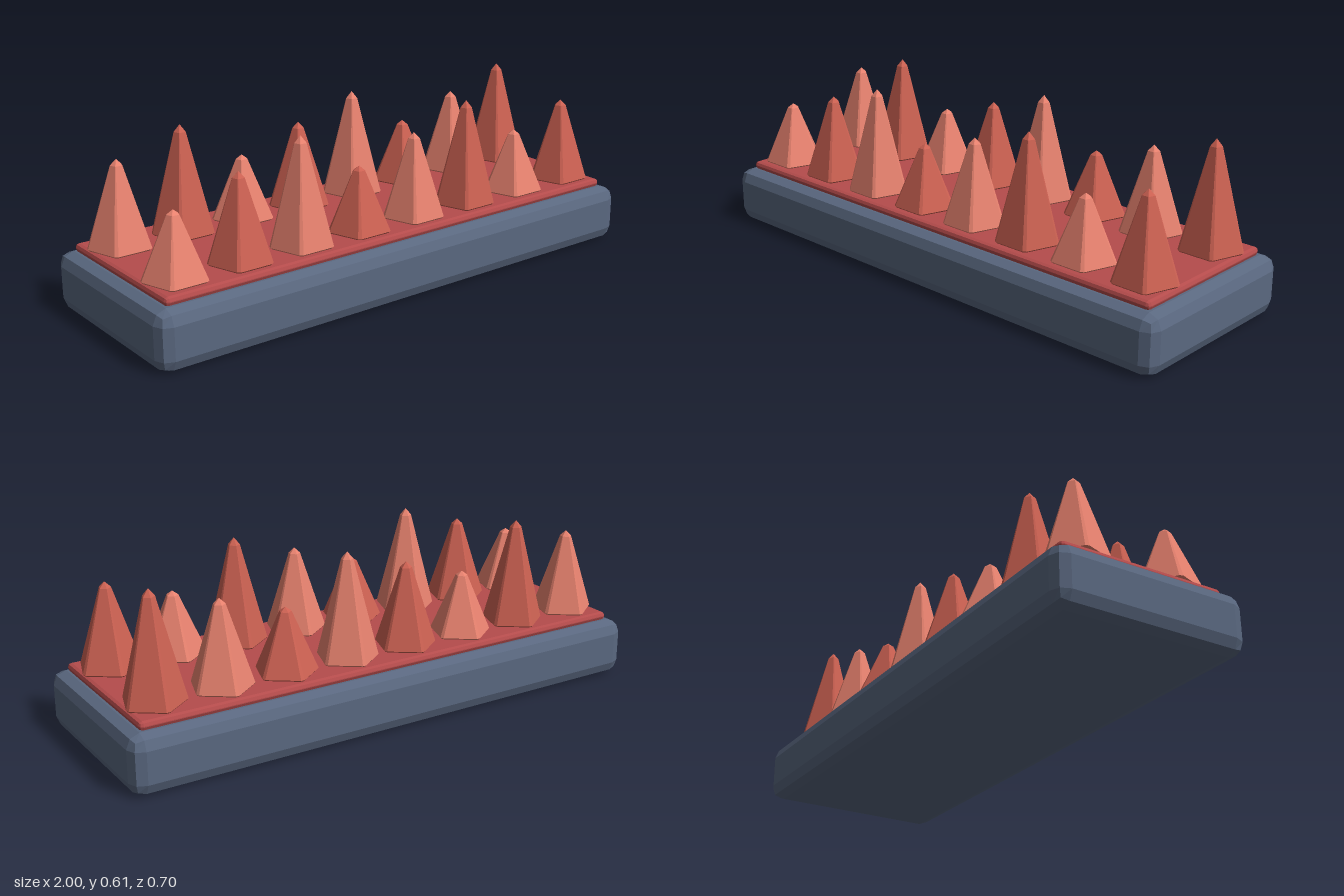
import * as THREE from 'three';
import { RoundedBoxGeometry } from 'three/addons/geometries/RoundedBoxGeometry.js';

const material = (color) => new THREE.MeshStandardMaterial({ color, flatShading: true });

// Slab with a two-facet chamfer on every edge, standing on y
function slab(name, w, h, d, radius, y, color) {
  const mesh = new THREE.Mesh(new RoundedBoxGeometry(w, h, d, 1, radius), material(color));
  mesh.name = name;
  mesh.position.y = y + h / 2;
  return mesh;
}

// Five-sided spike with slim bevels on its upright edges and a blunter tip
function spikeGeometry(height) {
  const radius = 0.11, bevel = 0.06;
  const profile = [[0, 0], [radius - 0.006, 0], [radius, 0.006], [0.021, height * 0.934], [0, height]]
    .map(([r, y]) => new THREE.Vector2(r, y));
  const geometry = new THREE.LatheGeometry(profile, 10);
  const position = geometry.attributes.position;
  for (let i = 0; i < position.count; i++) {
    const column = Math.floor(i / profile.length);
    const r = profile[i % profile.length].x;
    // Columns pair up around each of the five corners; one corner points back
    const angle = Math.PI + Math.floor(column / 2) * Math.PI * 0.4 + (column % 2 ? bevel : -bevel);
    position.setX(i, r * Math.sin(angle));
    position.setZ(i, r * Math.cos(angle));
  }
  geometry.computeVertexNormals();
  return geometry;
}

export function createModel() {
  const model = new THREE.Group();
  model.name = 'spikeTrap';
  model.add(slab('base', 2, 0.207, 0.7, 0.047, 0, 0x5a6880));
  model.add(slab('plate', 1.9, 0.031, 0.602, 0.014, 0.204, 0xb54c4c));

  // Two rows of eight spikes, cycling through three heights and two colours
  const geometries = [0.23, 0.305, 0.38].map(spikeGeometry);
  const materials = [material(0xe8826f), material(0xcc6152)];
  [['frontSpike', 0.18], ['backSpike', -0.172]].forEach(([name, z], row) => {
    for (let i = 0; i < 8; i++) {
      const spike = new THREE.Mesh(geometries[(i + row) % 3], materials[i % 2]);
      spike.name = name + (i + 1);
      spike.position.set((i - 3.5) * 0.241, 0.234, z);
      model.add(spike);
    }
  });
  return model;
}
